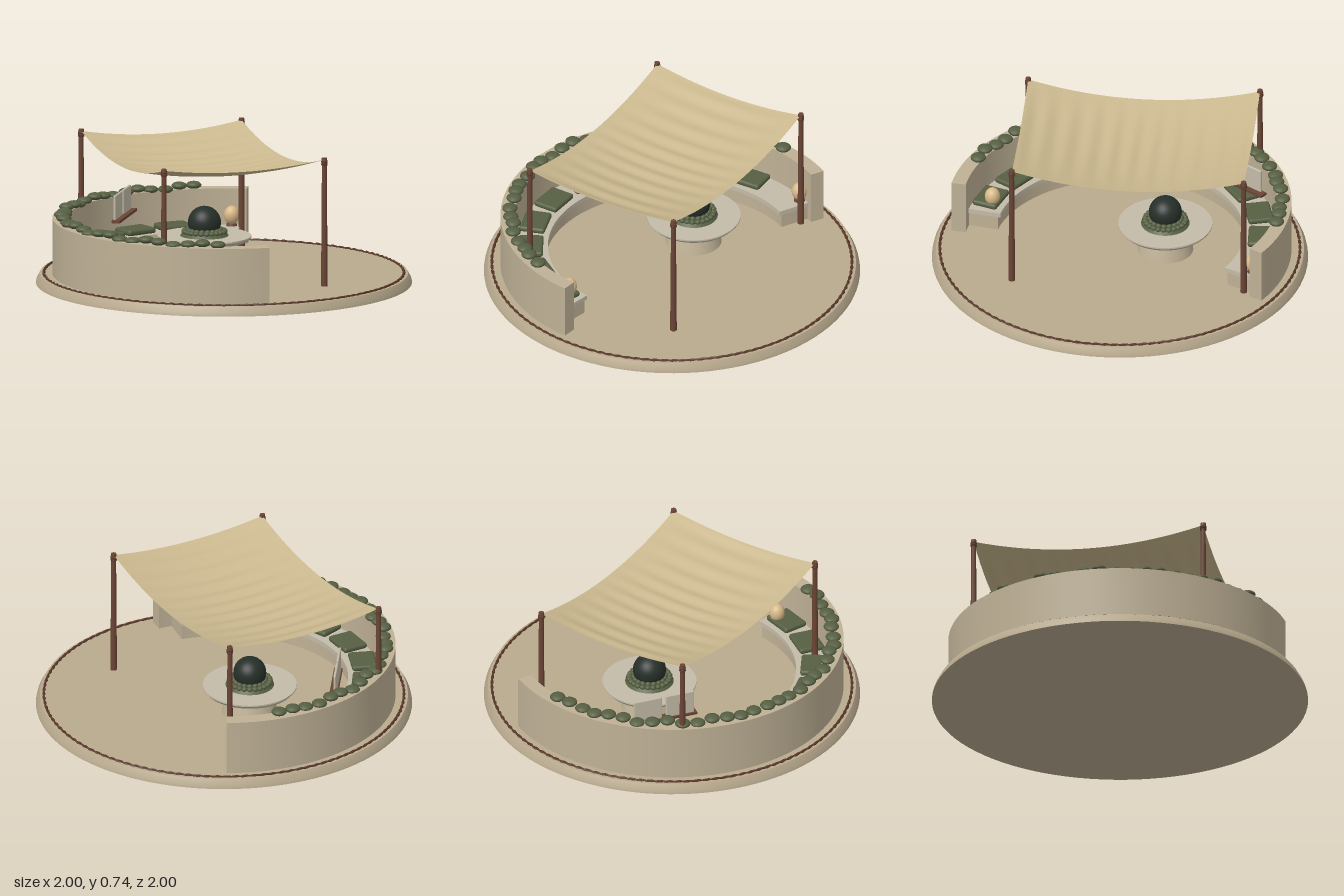
import * as THREE from 'three';
import { toCreasedNormals } from 'three/addons/utils/BufferGeometryUtils.js';
import { RoundedBoxGeometry } from 'three/addons/geometries/RoundedBoxGeometry.js';

const mat = (color, side = THREE.FrontSide) => new THREE.MeshStandardMaterial({ color, side });
const DEG = Math.PI / 180;

export function createModel() {
  const root = new THREE.Group();
  const stone = mat(0xb9aa8e), plaster = mat(0xbfb196), wood = mat(0x6a4535), rope = mat(0x5c3a2c);
  const green = mat(0x565f42), darkGreen = mat(0x262f2a), glow = mat(0xd9b98a), pale = mat(0xc4bba8);

  const add = (name, geo, material, x = 0, y = 0, z = 0, parent = root) => {
    const m = new THREE.Mesh(geo, material);
    m.name = name;
    m.position.set(x, y, z);
    parent.add(m);
    return m;
  };
  const group = (name) => {
    const g = new THREE.Group();
    g.name = name;
    root.add(g);
    return g;
  };
  const lathe = (pts, seg = 48) =>
    toCreasedNormals(new THREE.LatheGeometry(pts.map(p => new THREE.Vector2(...p)), seg), 0.5);
  // Curved block between two radii, angles measured from +x towards +z
  const arcBlock = (rIn, rOut, a0, a1, y0, y1) => {
    const s = new THREE.Shape();
    s.absarc(0, 0, rOut, a0 * DEG, a1 * DEG, false);
    s.absarc(0, 0, rIn, a1 * DEG, a0 * DEG, true);
    const g = new THREE.ExtrudeGeometry(s, { depth: y1 - y0, bevelEnabled: false, curveSegments: 64 });
    g.rotateX(Math.PI / 2).translate(0, y1, 0);
    return toCreasedNormals(g, 0.5);
  };

  // Round platform with a chamfered rim
  add('platform', lathe([[0, 0], [1, 0], [0.997, 0.016], [0.978, 0.05], [0, 0.05]], 96), stone);

  // Twisted two-strand rope around the floor
  const ropeRing = group('ropeRing');
  for (let k = 0; k < 2; k++) {
    const pts = [];
    for (let i = 0; i < 480; i++) {
      const a = i / 480 * Math.PI * 2, t = a * 60 + k * Math.PI, r = 0.957 + 0.004 * Math.cos(t);
      pts.push(new THREE.Vector3(r * Math.cos(a), 0.052 + 0.004 * Math.sin(t), r * Math.sin(a)));
    }
    const curve = new THREE.CatmullRomCurve3(pts, true);
    add('ropeStrand', new THREE.TubeGeometry(curve, 480, 0.005, 5, true), rope, 0, 0, 0, ropeRing);
  }

  // Curved wall and bench
  add('wall', arcBlock(0.835, 0.912, 95.5, 299, 0.045, 0.35), plaster);
  add('benchBase', arcBlock(0.675, 0.84, 100.5, 296.5, 0.045, 0.135), plaster);
  add('benchSeat', arcBlock(0.66, 0.838, 100, 297, 0.13, 0.155), pale);

  // Seat cushions
  const cushions = group('cushions');
  const cushionGeo = new RoundedBoxGeometry(0.14, 0.032, 0.18, 3, 0.014);
  for (let i = 0; i < 10; i++) {
    const a = (109 + i * 17.9) * DEG;
    const c = add('cushion', cushionGeo, green, 0.755 * Math.cos(a), 0.171, 0.755 * Math.sin(a), cushions);
    c.rotation.y = -a + 0.06 * Math.sin(i * 2.3);
  }

  // Row of low plants along the wall top
  const plants = group('wallPlants');
  const plantGeo = new THREE.SphereGeometry(0.041, 16, 10);
  for (let i = 0; i < 32; i++) {
    const a = (113 + i * 5.39) * DEG, r = 0.857 + 0.008 * Math.sin(i * 2.1);
    const p = add('plant', plantGeo, green, r * Math.cos(a), 0.362 + 0.009 * Math.sin(i * 1.7), r * Math.sin(a), plants);
    p.scale.y = 0.5;
  }

  // Egg-shaped lanterns on the bench ends
  for (const [x, z] of [[-0.195, 0.7], [0.325, -0.74]]) {
    const g = group('lantern');
    add('lanternBase', new THREE.CylinderGeometry(0.026, 0.03, 0.014, 20), wood, x, 0.161, z, g);
    add('lanternGlobe', new THREE.SphereGeometry(0.041, 24, 16), glow, x, 0.212, z, g).scale.y = 1.22;
  }

  // Pedestal table with a planted centrepiece
  const table = group('table');
  table.position.set(-0.02, 0, -0.24);
  add('pedestal', lathe([[0, 0.045], [0.15, 0.045], [0.142, 0.08], [0.108, 0.192], [0, 0.192]]), plaster, 0, 0, 0, table);
  add('tableTop', lathe([[0, 0.188], [0.235, 0.188], [0.25, 0.205], [0.25, 0.213], [0, 0.213]], 64), pale, 0, 0, 0, table);
  add('plantBed', new THREE.CylinderGeometry(0.115, 0.13, 0.018, 40), green, 0, 0.221, 0, table);
  const budGeo = new THREE.SphereGeometry(0.016, 10, 8);
  for (const [n, r, y] of [[24, 0.108, 0.236], [18, 0.083, 0.243]])
    for (let i = 0; i < n; i++) {
      const a = i / n * Math.PI * 2;
      add('bud', budGeo, green, r * Math.cos(a), y, r * Math.sin(a), table).scale.y = 0.8;
    }
  add('orb', new THREE.SphereGeometry(0.088, 32, 20), darkGreen, 0, 0.283, 0, table);

  // Ledge with two upright boards behind the bench
  const ledge = group('ledge');
  ledge.position.set(-0.355, 0, -0.59);
  ledge.rotation.y = Math.atan2(0.82, 0.57);
  add('shelf', new THREE.BoxGeometry(0.38, 0.014, 0.045), wood, 0.005, 0.279, 0.01, ledge);
  for (const s of [-1, 1])
    add('board', new RoundedBoxGeometry(0.16, 0.132, 0.014, 2, 0.005), pale, s * 0.091, 0.351, 0, ledge);

  // Four posts with lashings
  const X0 = -0.548, X1 = 0.364, Z0 = -0.695, Z1 = 0.543;
  for (const x of [X0, X1])
    for (const z of [Z0, Z1]) {
      const g = group('canopyPost');
      g.position.set(x, 0, z);
      add('pole', new THREE.CylinderGeometry(0.013, 0.018, 0.69, 14), wood, 0, 0.39, 0, g);
      add('cap', new THREE.CylinderGeometry(0.014, 0.016, 0.016, 14), wood, 0, 0.735, 0, g);
      for (let i = 0; i < 3; i++)
        add('lashing', new THREE.TorusGeometry(0.014, 0.004, 6, 16).rotateX(Math.PI / 2), rope, 0, 0.706 + i * 0.008, 0, g);
    }

  // Sagging canopy with soft ripples running across it
  const cloth = new THREE.PlaneGeometry(X1 - X0, Z1 - Z0, 32, 120).rotateX(-Math.PI / 2);
  const p = cloth.attributes.position;
  for (let i = 0; i < p.count; i++) {
    const u = p.getX(i) * 2 / (X1 - X0), v = p.getZ(i) * 2 / (Z1 - Z0);
    const ripple = 0.0045 * (1 - u * u) * Math.sin(v * 34 + 0.6 * Math.sin(v * 5));
    p.setY(i, 0.733 - 0.04 * (1 - u * u) - 0.088 * (1 - v * v) + ripple);
  }
  cloth.computeVertexNormals();
  add('canopy', cloth, mat(0xcbb98f, THREE.DoubleSide), (X0 + X1) / 2, 0, (Z0 + Z1) / 2);

  return root;
}
